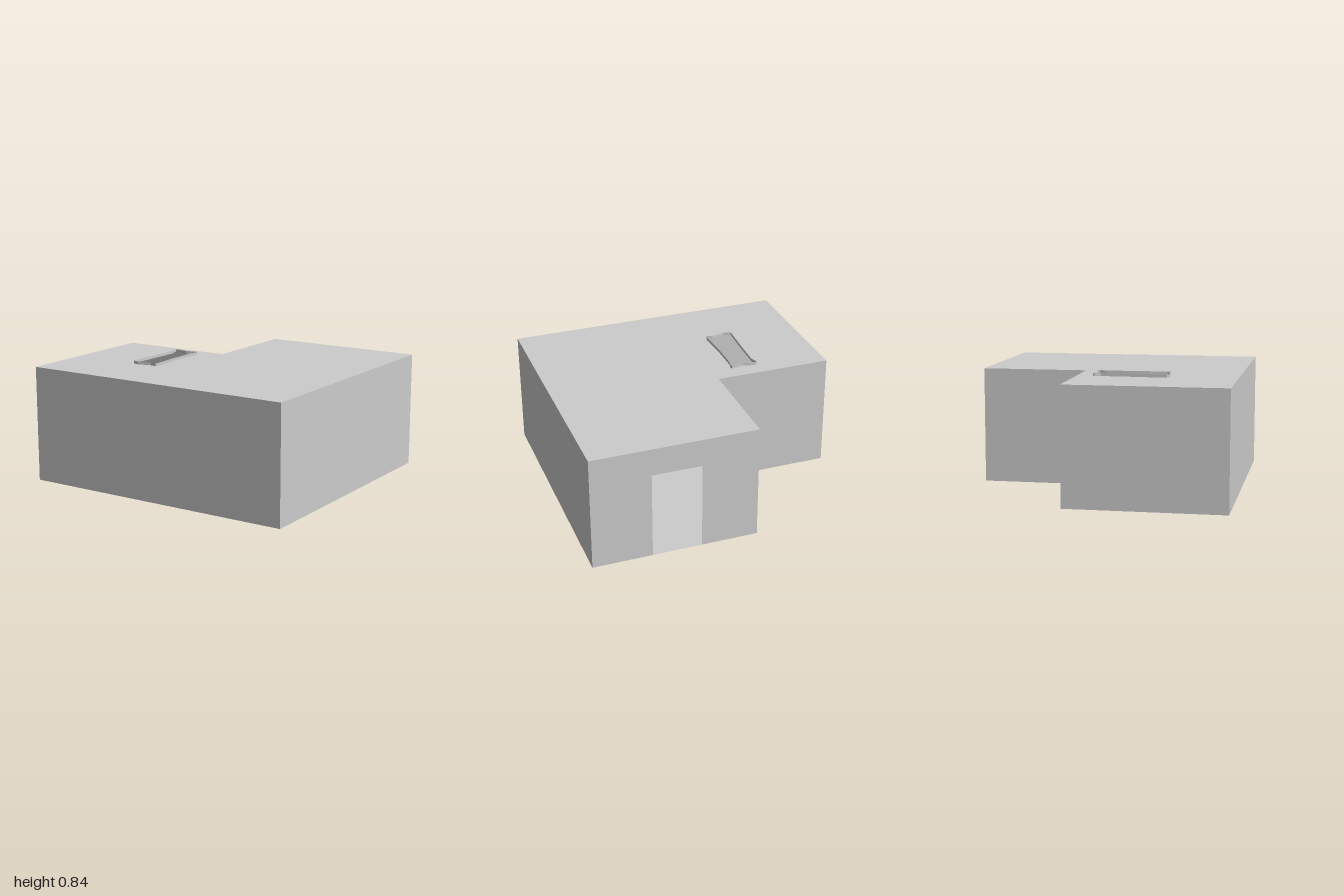
import * as THREE from 'three';

const HEIGHT = 0.82;
const RIM_TOP = 0.84;

// Plan points as [x, z], anticlockwise seen from above
const PLAN = [[-1, 0.925], [1, 0.925], [1, -0.925], [-0.17, -0.925], [-0.17, -0.18], [-1, -0.18]];
const WALL_NAMES = ['frontWall', 'leftWall', 'doorWall', 'notchSideWall', 'notchBackWall', 'rightWall'];
const SKYLIGHT = [
  [-0.508, 0.445], [-0.46, 0.462], [-0.362, 0.437], [-0.335, 0.443], [-0.315, 0.447],
  [-0.312, 0.42], [-0.323, 0.2], [-0.321, 0], [-0.312, -0.05], [-0.318, -0.064],
  [-0.36, -0.058], [-0.405, -0.048], [-0.46, -0.062], [-0.504, -0.064], [-0.507, -0.05],
  [-0.489, -0.01], [-0.496, 0.2],
];

const material = new THREE.MeshStandardMaterial({
  color: 0xcccccc, side: THREE.DoubleSide, flatShading: true,
});

function mesh(geometry, name) {
  const m = new THREE.Mesh(geometry, material);
  m.name = name;
  return m;
}

const planVectors = (points) => points.map(([x, z]) => new THREE.Vector2(x, -z));

// Thin horizontal sheet cut to a plan, with an optional opening
function sheet(points, y, name, opening) {
  const shape = new THREE.Shape(planVectors(points));
  if (opening) shape.holes.push(new THREE.Path(planVectors(opening)));
  return mesh(new THREE.ShapeGeometry(shape).rotateX(-Math.PI / 2).translate(0, y, 0), name);
}

// Thin upright panel from a to b; a doorway [start, end, height] is cut up from its foot
function panel(a, b, y0, y1, name, door) {
  const dx = b[0] - a[0], dz = b[1] - a[1];
  const length = Math.hypot(dx, dz), h = y1 - y0;
  const outline = [[0, 0]];
  if (door) outline.push([door[0], 0], [door[0], door[2]], [door[1], door[2]], [door[1], 0]);
  outline.push([length, 0], [length, h], [0, h]);
  const shape = new THREE.Shape(outline.map(([x, y]) => new THREE.Vector2(x, y)));
  const geometry = new THREE.ShapeGeometry(shape)
    .rotateY(Math.atan2(-dz, dx))
    .translate(a[0], y0, a[1]);
  return mesh(geometry, name);
}

export function createModel() {
  const model = new THREE.Group();
  model.name = 'building';

  // Floor and roof, the roof open at the skylight
  model.add(sheet(PLAN, 0, 'floor'));
  model.add(sheet(PLAN, HEIGHT, 'roof', SKYLIGHT));

  // Outer walls, with the doorway in the back one
  PLAN.forEach((a, i) => {
    const b = PLAN[(i + 1) % PLAN.length];
    const door = WALL_NAMES[i] === 'doorWall' ? [0.42, 0.77, 0.625] : undefined;
    model.add(panel(a, b, 0, HEIGHT, WALL_NAMES[i], door));
  });

  // Low raised rim around the skylight
  const rim = new THREE.Group();
  rim.name = 'skylightRim';
  SKYLIGHT.forEach((a, i) => {
    rim.add(panel(a, SKYLIGHT[(i + 1) % SKYLIGHT.length], HEIGHT, RIM_TOP, 'rimSegment'));
  });
  model.add(rim);

  return model;
}
